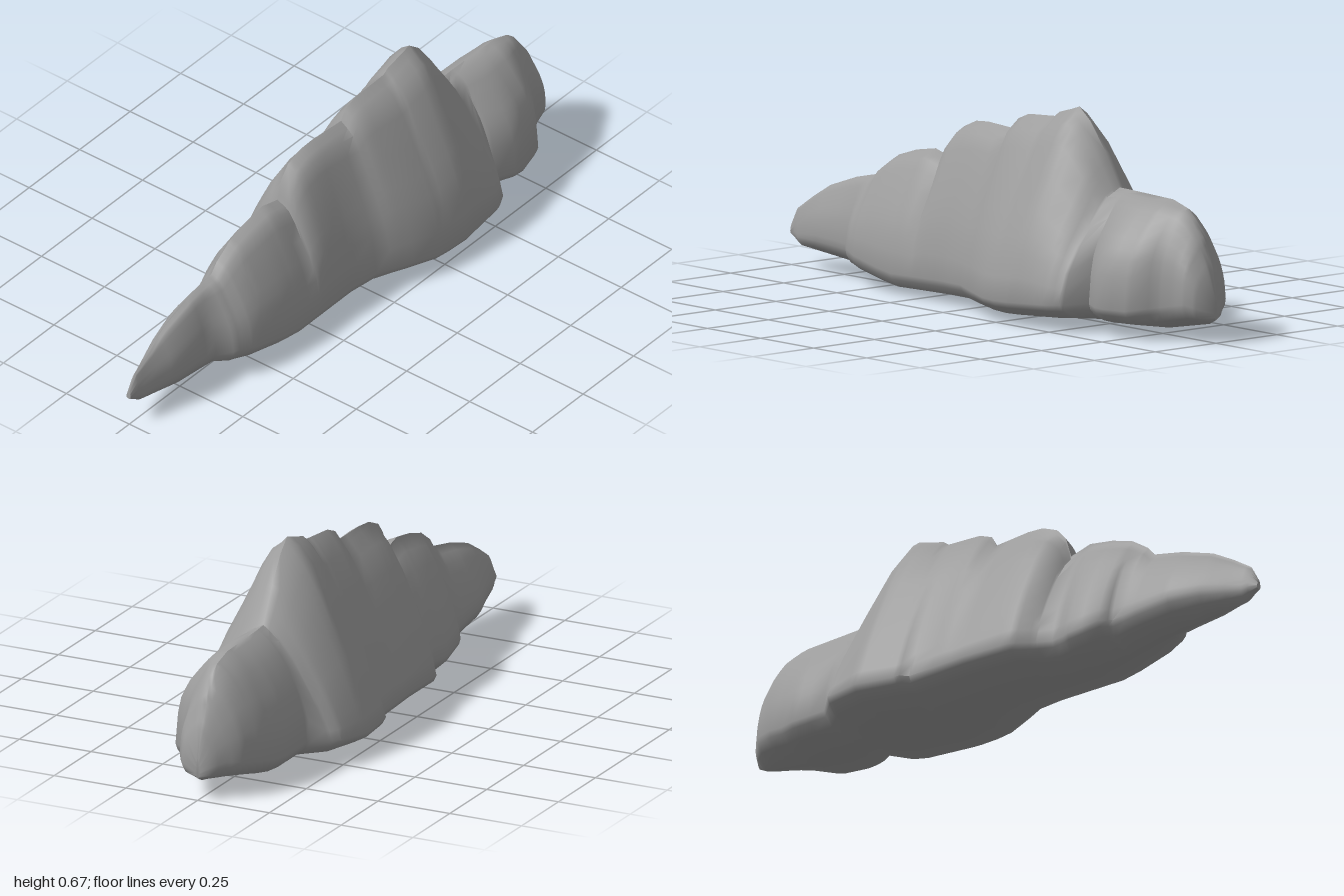
import * as THREE from 'three';
import { toCreasedNormals } from 'three/addons/utils/BufferGeometryUtils.js';

// Outlines along the length, as [x, value] pairs
const ridge = [[-1, .13], [-.97, .185], [-.9, .23], [-.82, .275], [-.7, .315], [-.585, .34], [-.56, .37], [-.5, .41],
  [-.42, .435], [-.33, .45], [-.255, .43], [-.235, .495], [-.2, .535], [-.14, .56], [-.08, .565], [.05, .56],
  [.07, .595], [.12, .615], [.25, .625], [.27, .64], [.34, .66], [.37, .67], [.42, .63], [.48, .55], [.55, .437],
  [.8, .43], [.87, .41], [.9, .385], [.94, .33], [.98, .23], [1, .14]];
const ridgeOffset = [[-1, -.005], [-.2, -.012], [.37, .012], [.6, 0], [1, 0]];
const base = [[-1, .1], [-.95, .07], [-.6, .04], [-.35, .003], [0, .012], [.26, .005], [.6, .025], [.78, .025], [.97, .06], [1, .075]];
const frontWidth = [[-1, .005], [-.82, .06], [-.655, .068], [-.62, .11], [-.55, .14], [-.42, .16], [-.1, .165], [0, .18],
  [.1, .225], [.2, .265], [.33, .28], [.5, .267], [.545, .245], [.59, .165], [.66, .203], [.7, .207], [.8, .18],
  [.86, .12], [.9, .1], [.95, .088], [.98, .065], [1, .008]];
const backWidth = [[-1, .012], [-.85, .065], [-.72, .108], [-.51, .12], [-.48, .155], [-.37, .17], [-.3, .158], [-.25, .18],
  [-.18, .225], [0, .23], [.21, .235], [.23, .26], [.39, .285], [.52, .255], [.6, .175], [.73, .175], [.84, .15], [.92, .11],
  [.98, .045], [1, .008]];
// Exponent on flank heights: lower is rounder
const fullness = [[-1, .75], [-.3, .85], [.2, 1], [.54, 1], [.6, .57], [1, .57]];

// Half sections from ridge to widest edge: [share of width, share of height]
const frontFlank = [[.12, .96], [.23, .92], [.36, .82], [.53, .65], [.71, .48], [.81, .36], [.89, .26], [.95, .13], [1, 0]];
const backFlank = [[.07, .96], [.23, .865], [.43, .69], [.57, .54], [.7, .4], [.81, .27], [.9, .15], [.95, .08], [1, 0]];

function sample(table, x) {
  let i = 1;
  while (i < table.length - 1 && table[i][0] < x) i++;
  const [[x0, a], [x1, b]] = [table[i - 1], table[i]];
  return THREE.MathUtils.lerp(a, b, (x - x0) / (x1 - x0));
}

// Closed cross-section: ridge, front flank, underside, back flank
function section(x) {
  const top = sample(ridge, x), low = sample(base, x), power = sample(fullness, x);
  const edge = low + Math.min(.07, (top - low) * .3);
  const side = (flank, width) => [
    ...flank.map(([w, h]) => [edge + (top - edge) * h ** power, w * width]),
    [low + (edge - low) * .72, .96 * width],
    [low + (edge - low) * .36, .8 * width],
  ];
  const front = side(frontFlank, sample(frontWidth, x));
  const back = side(backFlank, -sample(backWidth, x)).reverse();
  // The crest shift is limited where the section is thin
  const shift = THREE.MathUtils.clamp(sample(ridgeOffset, x), back.at(-1)[1] * .8, front[0][1] * .8);
  return [[top, shift], ...front, [low, 0], ...back].map(([y, z]) => [x, y, z]);
}

function loft() {
  const tables = [ridge, base, frontWidth, backWidth, fullness];
  const stations = [...new Set(tables.flat().map(p => p[0]))].sort((a, b) => a - b);
  const rings = stations.map(section);
  const n = rings[0].length, last = rings.length - 1, index = [];
  for (let i = 0; i < last; i++) {
    for (let j = 0; j < n; j++) {
      const a = i * n + j, b = i * n + (j + 1) % n;
      index.push(a, b, a + n, b, b + n, a + n);
    }
  }
  // Small end caps
  for (let j = 1; j < n - 1; j++) {
    index.push(0, j + 1, j, last * n, last * n + j, last * n + j + 1);
  }
  const geometry = new THREE.BufferGeometry();
  geometry.setAttribute('position', new THREE.Float32BufferAttribute(rings.flat(2), 3));
  geometry.setIndex(index);
  return toCreasedNormals(geometry, .9);
}

export function createModel() {
  const group = new THREE.Group();
  group.name = 'rockRidge';
  const body = new THREE.Mesh(loft(), new THREE.MeshStandardMaterial({ color: 0x9d9d9d }));
  body.name = 'ridgeBody';
  group.add(body);
  return group;
}
